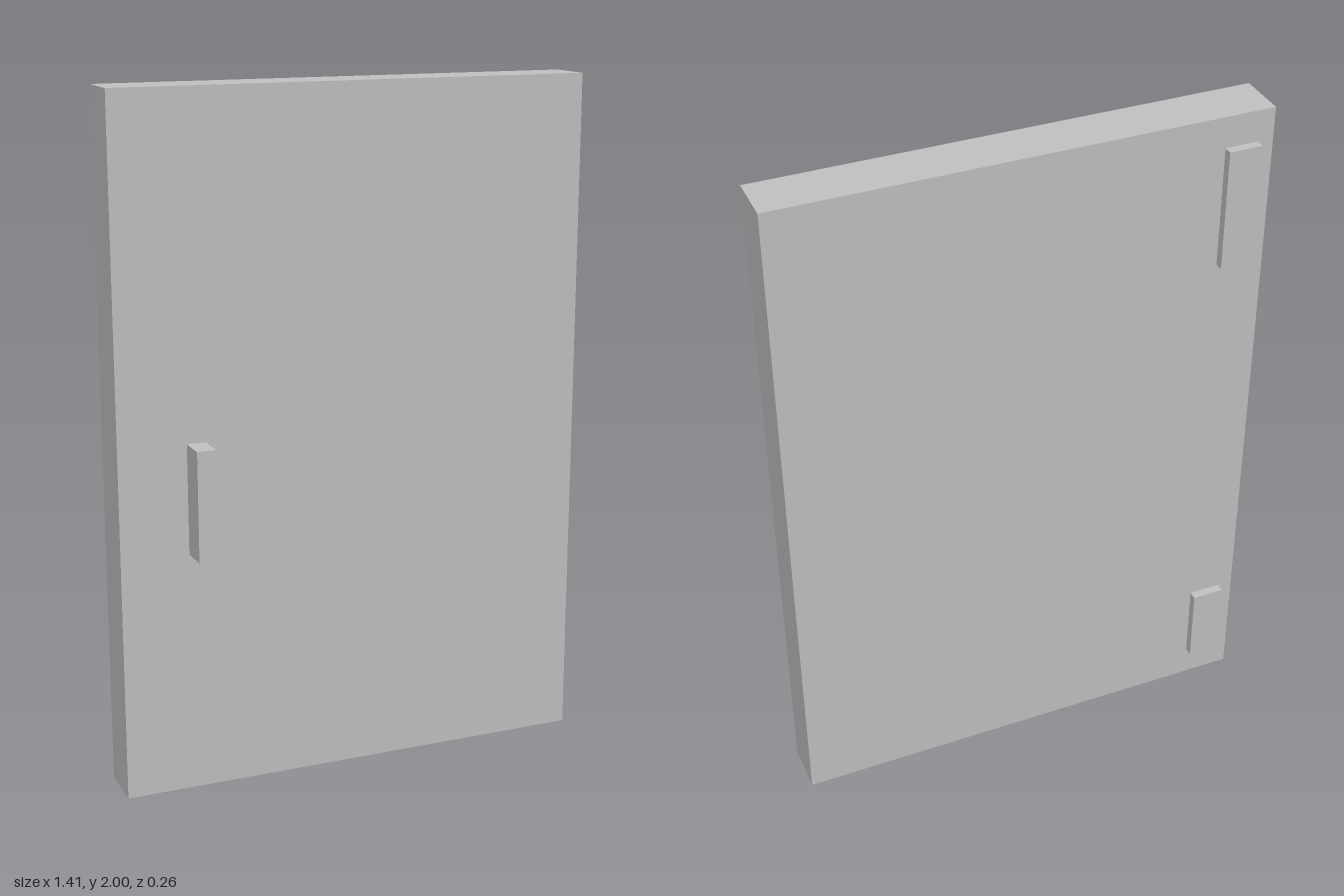
import * as THREE from 'three';

export function createModel() {
  const model = new THREE.Group();
  model.name = 'cabinetDoor';

  const grey = new THREE.MeshStandardMaterial({ color: 0xbebebe });
  grey.name = 'plain grey';

  // The door hangs slightly ajar, carrying its handle and hinges with it
  const door = new THREE.Group();
  door.name = 'door';
  door.position.z = -0.04;
  door.rotation.y = 0.015;
  model.add(door);

  // Box given by its lower and upper corners, in the door's own frame
  function addBox(name, [x0, y0, z0], [x1, y1, z1]) {
    const mesh = new THREE.Mesh(new THREE.BoxGeometry(x1 - x0, y1 - y0, z1 - z0), grey);
    mesh.position.set((x0 + x1) / 2, (y0 + y1) / 2, (z0 + z1) / 2);
    mesh.name = name;
    door.add(mesh);
  }

  const half = 0.074;
  addBox('doorPanel', [-0.705, 0, -half], [0.705, 2, half]);
  addBox('handle', [-0.506, 0.708, half], [-0.451, 1.027, 0.163]);
  addBox('upperHinge', [-0.66, 1.55, -0.1], [-0.563, 1.908, -half]);
  addBox('lowerHinge', [-0.66, 0.098, -0.1], [-0.563, 0.34, -half]);

  // Crooked paper notice, held just off the front face
  const notice = new THREE.Mesh(new THREE.PlaneGeometry(0.424, 0.396), grey);
  notice.name = 'notice';
  notice.position.set(0.389, 1.491, 0.047);
  notice.rotation.z = -0.086;
  model.add(notice);

  return model;
}
